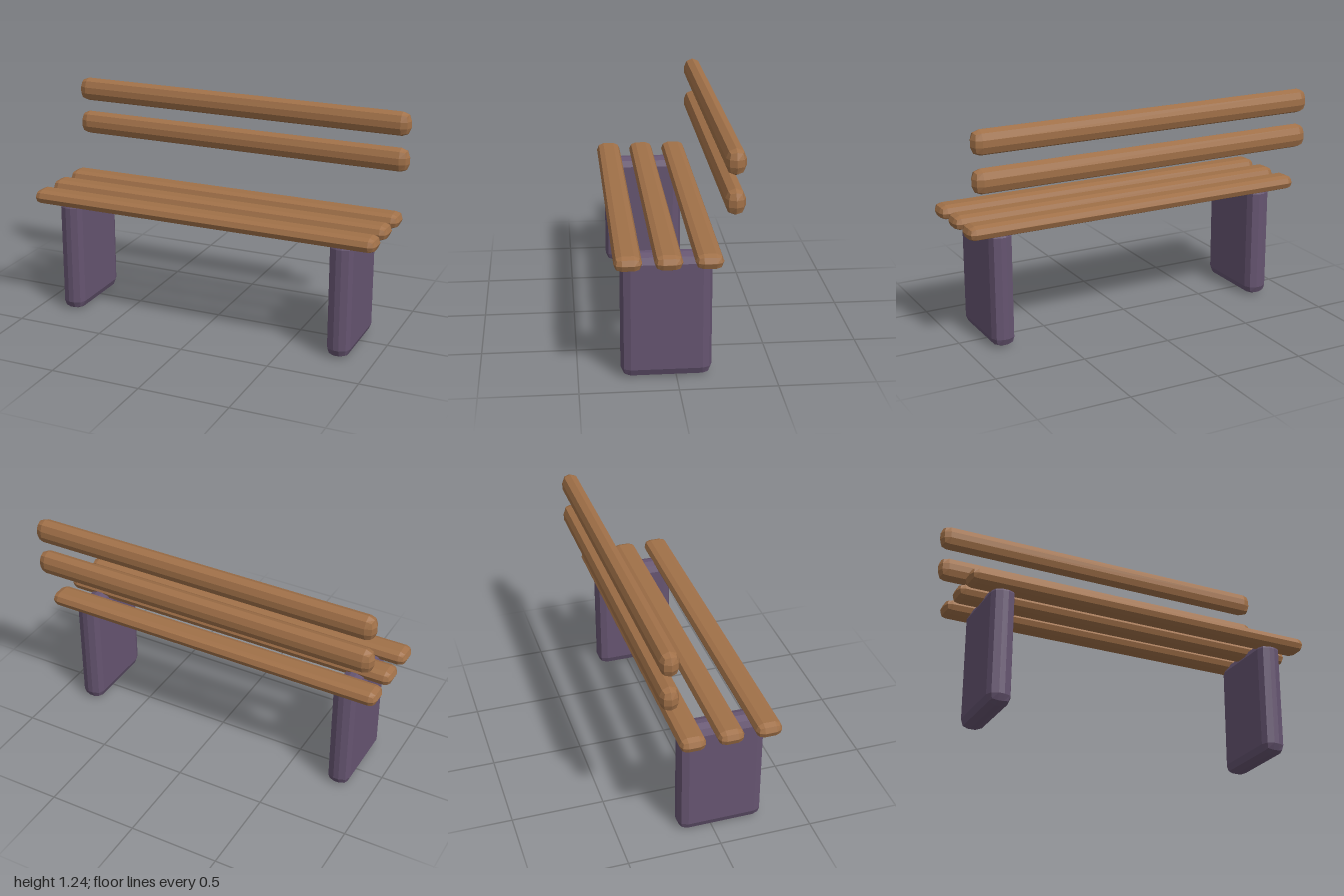
import * as THREE from 'three';

// Box whose edges and corners are bevelled in two flat steps of radius r.
function bevelledBox(w, h, d, r) {
  const geo = new THREE.BoxGeometry(w, h, d, 3, 3, 3);
  const pos = geo.attributes.position;
  const half = new THREE.Vector3(w / 2, h / 2, d / 2);
  const v = new THREE.Vector3();
  const dir = new THREE.Vector3();
  for (let i = 0; i < pos.count; i++) {
    v.fromBufferAttribute(pos, i);
    for (const a of ['x', 'y', 'z']) {
      const s = Math.sign(v[a]);
      dir[a] = Math.abs(v[a]) > half[a] * 0.9 ? s : 0;
      v[a] = s * (half[a] - r);
    }
    v.addScaledVector(dir.normalize(), r);
    pos.setXYZ(i, v.x, v.y, v.z);
  }
  const flat = geo.toNonIndexed();
  flat.computeVertexNormals();
  return flat;
}

export function createModel() {
  const bench = new THREE.Group();
  bench.name = 'bench';

  const wood = new THREE.MeshStandardMaterial({ color: 0xa07048 });
  wood.name = 'brown wood';
  const stone = new THREE.MeshStandardMaterial({ color: 0x655470 });
  stone.name = 'purple stone';

  const add = (name, geo, mat, x, y, z) => {
    const mesh = new THREE.Mesh(geo, mat);
    mesh.name = name;
    mesh.position.set(x, y, z);
    bench.add(mesh);
  };

  // Seat: three flat planks, front to back
  const plank = bevelledBox(2, 0.08, 0.14, 0.0395);
  [0.25, 0.05, -0.15].forEach((z, i) => add(`seatPlank${i + 1}`, plank, wood, 0, 0.668, z));

  // Backrest: two upright slats
  const slat = bevelledBox(2, 0.134, 0.1, 0.049);
  [0.968, 1.168].forEach((y, i) => add(`backSlat${i + 1}`, slat, wood, 0, y, -0.27));

  // Slab legs, their tops sunk between the planks
  const leg = bevelledBox(0.13, 0.668, 0.464, 0.05);
  add('leftLeg', leg, stone, 0.8, 0.334, 0.05);
  add('rightLeg', leg, stone, -0.8, 0.334, 0.05);

  return bench;
}
